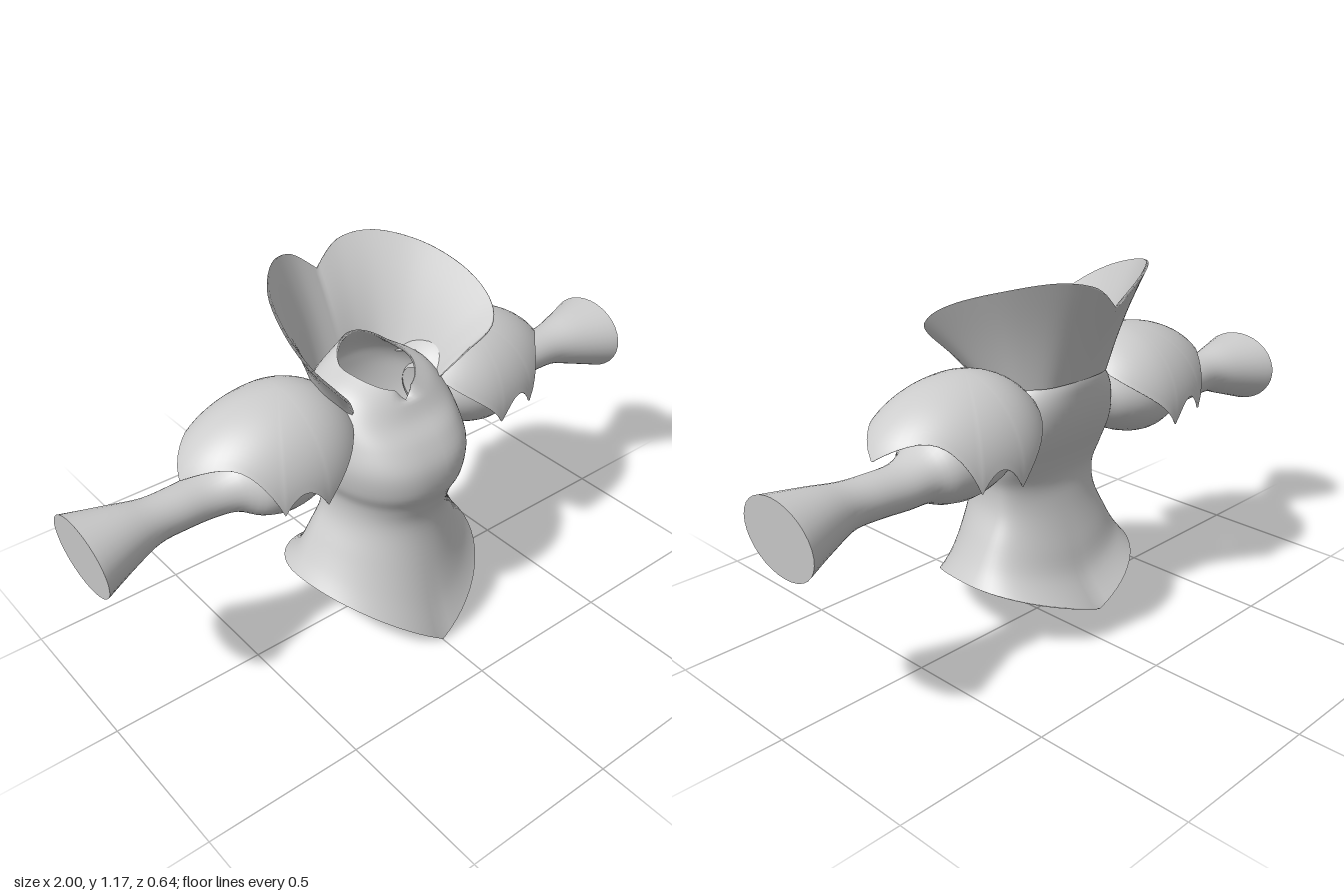
import * as THREE from 'three';
import { mergeVertices } from 'three/addons/utils/BufferGeometryUtils.js';

const cloth = new THREE.MeshStandardMaterial({ color: 0xcccccc, side: THREE.DoubleSide });
cloth.name = 'pale grey cloth';

// Smooth interpolation through the rows of a small table, t from 0 to 1
function sample(rows, t) {
  const f = t * (rows.length - 1), i = Math.min(Math.floor(f), rows.length - 2), w = f - i;
  const at = k => rows[Math.max(0, Math.min(rows.length - 1, k))];
  return rows[i].map((b, c) => {
    const a = at(i - 1)[c], d = at(i + 1)[c], e = at(i + 2)[c];
    return b + 0.5 * w * (d - a + w * (2 * a - 5 * b + 4 * d - e + w * (3 * (b - d) + e - a)));
  });
}

// Surface from a rule (u, v) -> [x, y, z], welded where its edges meet
function surface(rule, nu, nv) {
  const pos = [], index = [];
  for (let j = 0; j <= nv; j++) {
    for (let i = 0; i <= nu; i++) pos.push(...rule(i / nu, j / nv));
  }
  for (let j = 0; j < nv; j++) {
    for (let i = 0; i < nu; i++) {
      const a = j * (nu + 1) + i, b = a + nu + 1;
      index.push(a, a + 1, b, a + 1, b + 1, b);
    }
  }
  let geo = new THREE.BufferGeometry();
  geo.setAttribute('position', new THREE.Float32BufferAttribute(pos, 3));
  geo.setIndex(index);
  geo = mergeVertices(geo, 1e-5);
  geo.computeVertexNormals();
  return geo;
}

// Gives a surface thickness: a second layer behind it, joined round the open edges
function thicken(geo, depth) {
  const p = geo.attributes.position, n = geo.attributes.normal, idx = geo.index.array;
  const pos = [...p.array], nor = [...n.array], index = [], edges = new Map();
  for (let i = 0; i < p.count * 3; i++) {
    pos.push(p.array[i] - n.array[i] * depth);
    nor.push(-n.array[i]);
  }
  for (let t = 0; t < idx.length; t += 3) {
    const [a, b, c] = idx.slice(t, t + 3);
    if (a === b || b === c || c === a) continue;
    index.push(a, b, c, a + p.count, c + p.count, b + p.count);
    for (const [s, e] of [[a, b], [b, c], [c, a]]) {
      if (!edges.delete(`${e},${s}`)) edges.set(`${s},${e}`, [s, e]);
    }
  }
  for (const [s, e] of edges.values()) {
    index.push(s, s + p.count, e, e, s + p.count, e + p.count);
  }
  const shell = new THREE.BufferGeometry();
  shell.setAttribute('position', new THREE.Float32BufferAttribute(pos, 3));
  shell.setAttribute('normal', new THREE.Float32BufferAttribute(nor, 3));
  shell.setIndex(index);
  return shell;
}

function part(name, geo) {
  const mesh = new THREE.Mesh(geo, cloth);
  mesh.name = name;
  return mesh;
}

// Bodice rings: side y, front y, back y, half width, front z, back z, boxiness
const bodiceRings = [
  [0.22, 0.005, 0.11, 0.32, 0.32, -0.275, 0],
  [0.27, 0.13, 0.2, 0.285, 0.28, -0.205, 0],
  [0.34, 0.28, 0.3, 0.245, 0.247, -0.168, 0],
  [0.42, 0.42, 0.42, 0.205, 0.226, -0.127, 0.05],
  [0.5, 0.5, 0.5, 0.2, 0.242, -0.112, 0.1],
  [0.57, 0.57, 0.57, 0.225, 0.27, -0.13, 0.15],
  [0.65, 0.65, 0.65, 0.237, 0.266, -0.165, 0.2],
  [0.72, 0.72, 0.72, 0.23, 0.225, -0.187, 0.2],
  [0.79, 0.77, 0.79, 0.21, 0.172, -0.195, 0.2],
  [0.85, 0.815, 0.85, 0.17, 0.14, -0.19, 0.1],
  [0.885, 0.85, 0.93, 0.11, 0.115, -0.145, 0],
];

function bodicePoint(u, v) {
  const [side, front, back, hw, zf, zb, box] = sample(bodiceRings, v);
  const a = u * Math.PI * 2, s = Math.sin(a), c = Math.cos(a);
  const point = Math.max(0, 1 - v / 0.4);           // the hem is pointed, the rest round
  const drop = point * Math.pow(1 - Math.abs(s), 1.05) + (1 - point) * c * c;
  // Small notch at the front of the neckline
  const notch = c > 0 ? 0.04 * Math.max(0, 1 - Math.abs(s) / 0.3) * Math.max(0, v * 10 - 9) : 0;
  const mid = -0.03, end = c > 0 ? front : back;
  const square = k => Math.sign(k) * Math.pow(Math.abs(k), 1 - box);
  return [hw * square(s), side + (end - side) * drop - notch, mid + (c > 0 ? zf - mid : mid - zb) * square(c)];
}

// Sleeve rings: x, lean of the ring, centre y, centre z, half height, half depth
const sleeveRings = [
  [0.18, 0, 0.71, -0.03, 0.07, 0.08],
  [0.23, 0, 0.695, -0.03, 0.095, 0.125],
  [0.3, 0, 0.68, -0.03, 0.118, 0.152],
  [0.39, 0, 0.67, -0.03, 0.13, 0.16],
  [0.47, 0, 0.665, -0.035, 0.115, 0.14],
  [0.53, 0, 0.655, -0.05, 0.08, 0.095],
  [0.6, 0, 0.645, -0.058, 0.067, 0.076],
  [0.69, 0, 0.645, -0.055, 0.064, 0.07],
  [0.78, 0, 0.645, -0.052, 0.067, 0.072],
  [0.87, 0.005, 0.638, -0.053, 0.089, 0.1],
  [0.99, 0.01, 0.625, -0.055, 0.117, 0.15],
];

function sleevePoint(u, v) {
  const [x, lean, y, z, ry, rz] = sample(sleeveRings, v);
  const a = u * Math.PI * 2;
  return [x + lean * Math.cos(a), y + ry * Math.cos(a), z + rz * Math.sin(a)];
}

// Flat end closing the cuff
function cuffEndPoint(u, v) {
  const centre = [0.99, 0.625, -0.055];
  return sleevePoint(u, 1).map((k, i) => centre[i] + (k - centre[i]) * (1 - v));
}

// Shoulder cape: a dome cut along scallops given as (angle, height), from the outer tip to the neck
const capeArcs = [
  [0, 0.74, 0.915, 0.885, 1.17, 0.645],
  [1.17, 0.645, 1.37, 0.765, 1.57, 0.63],
  [1.57, 0.63, 1.85, 0.76, Math.PI, 0.85],
].map(([a, b, c, d, e, f]) => new THREE.QuadraticBezierCurve(
  new THREE.Vector2(a, b), new THREE.Vector2(c, d), new THREE.Vector2(e, f)));

function capePoint(u, v) {
  const half = u <= 0.5 ? u * 2 : 2 - u * 2;
  const k = Math.min(2, Math.floor(half * 3 + 1e-9));
  const edge = capeArcs[k].getPoint(Math.min(1, half * 3 - k));
  const base = 0.67, height = 0.24;
  const phi = v * Math.acos((edge.y - base) / height), c = Math.cos(edge.x);
  return [0.34 + (c > 0 ? 0.355 : 0.25) * c * Math.sin(phi), base + height * Math.cos(phi),
    -0.045 + 0.235 * Math.sin(edge.x) * Math.sin(phi) * (u <= 0.5 ? 1 : -1)];
}

// Collar: base line and heart-shaped rim, from the centre back to the front tip
const collarBase = [
  [0, 0.84, -0.195], [0.07, 0.84, -0.19], [0.13, 0.835, -0.165], [0.175, 0.83, -0.11],
  [0.195, 0.83, -0.05], [0.2, 0.825, 0], [0.19, 0.82, 0.04], [0.18, 0.815, 0.065], [0.17, 0.81, 0.08],
];
const collarRim = [
  [0, 1.075, -0.31], [0.09, 1.145, -0.32], [0.19, 1.167, -0.265], [0.285, 1.142, -0.15],
  [0.333, 1.095, -0.01], [0.335, 1.035, 0.105], [0.295, 0.975, 0.163], [0.225, 0.895, 0.13], [0.17, 0.81, 0.08],
];

function collarPoint(u, v) {
  const s = 1 - u * 2, t = Math.abs(s);
  const a = sample(collarBase, t), b = sample(collarRim, t);
  const flare = v - 0.06 * Math.sin(v * Math.PI);    // curls outward towards the rim
  return [(a[0] + (b[0] - a[0]) * flare) * Math.sign(s),
    a[1] + (b[1] - a[1]) * v, a[2] + (b[2] - a[2]) * flare];
}

export function createModel() {
  const model = new THREE.Group();
  model.name = 'costumeTop';
  model.add(part('bodice', thicken(surface(bodicePoint, 64, 50), 0.008)));
  model.add(part('collar', thicken(surface(collarPoint, 80, 14), 0.008)));

  for (const side of [1, -1]) {
    // Mirrors a rule to the other side, keeping the faces outward
    const mirror = rule => (u, v) => {
      const [x, y, z] = rule(side > 0 ? u : 1 - u, v);
      return [side * x, y, z];
    };
    const arm = new THREE.Group();
    arm.name = side > 0 ? 'leftArm' : 'rightArm';
    arm.add(part('sleeve', surface(mirror(sleevePoint), 32, 40)));
    arm.add(part('cuffEnd', surface(mirror(cuffEndPoint), 32, 1)));
    arm.add(part('shoulderCape', thicken(surface(mirror(capePoint), 72, 16), 0.006)));
    model.add(arm);
  }
  return model;
}
